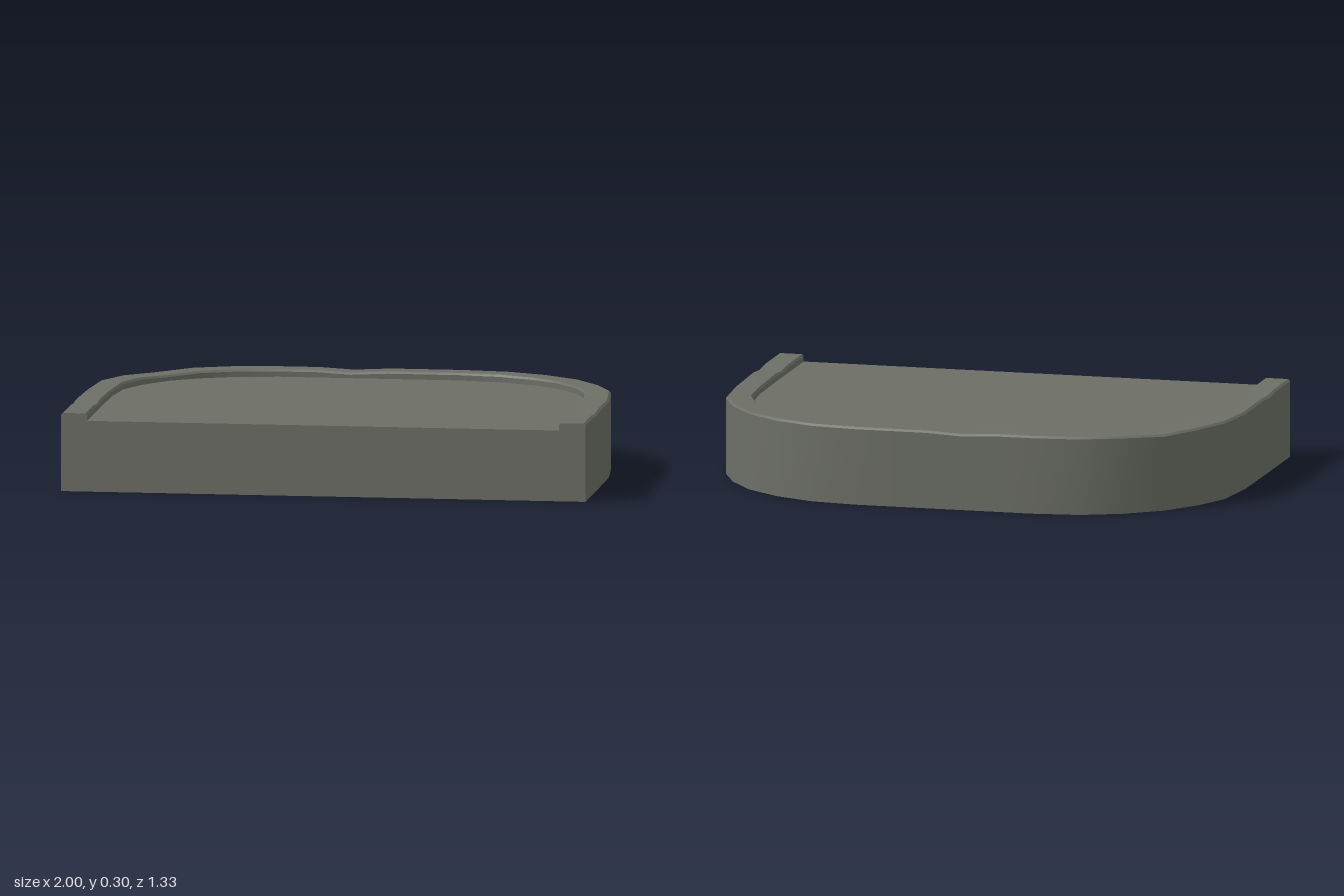
import * as THREE from 'three';

const stone = new THREE.MeshStandardMaterial({ color: 0x6c6f66, side: THREE.DoubleSide });
stone.name = 'grey stone';

const FRONT = 0.665, FLOOR = 0.27, TOP = 0.298;

// Half outlines in [x, z], from the front corner round to the middle of the back
const outerHalf = [[1, FRONT], [1, 0.45], [1, 0.36], [1, 0.27], [0.998, 0.02], [0.975, -0.2], [0.91, -0.345],
  [0.81, -0.48], [0.675, -0.58], [0.525, -0.643], [0.345, -0.665], [0.2, -0.665], [0.07, -0.665]];
const innerHalf = [[0.9, FRONT], [0.9, 0.45], [0.9, 0.36], [0.9, 0.27], [0.897, 0.01], [0.88, -0.165], [0.83, -0.29],
  [0.74, -0.412], [0.635, -0.49], [0.5, -0.55], [0.34, -0.575], [0.2, -0.575], [0.07, -0.575]];
const mirror = half => [...half, ...half.slice().reverse().map(([x, z]) => [-x, z])];
const outer = mirror(outerHalf), inner = mirror(innerHalf);

// Worn hollows along the rim, by outline index
const hollows = { 2: 0.007, 4: 0.004, 13: 0.007, 18: 0.006, 21: 0.004, 23: 0.007 };

// Rim cross-section rows: t runs from the outer (0) to the inner (1) outline
const row = (t, y, worn) => outer.map(([x, z], i) => [
  x + (inner[i][0] - x) * t,
  y - (worn ? hollows[i] || 0 : 0),
  z + (inner[i][1] - z) * t,
]);

// Smooth strip between two rows of points
function band(name, a, b) {
  const index = [], n = a.length;
  for (let i = 0; i < n - 1; i++) index.push(i, i + 1, n + i + 1, i, n + i + 1, n + i);
  const g = new THREE.BufferGeometry();
  g.setAttribute('position', new THREE.Float32BufferAttribute([...a, ...b].flat(), 3));
  g.setIndex(index);
  g.computeVertexNormals();
  return part(name, g);
}

function part(name, geometry) {
  const mesh = new THREE.Mesh(geometry, stone);
  mesh.name = name;
  return mesh;
}

export function createModel() {
  const group = new THREE.Group();
  group.name = 'steppedSlab';

  // Hollow kerb, open underneath
  const foot = row(0, 0), shoulder = row(0, TOP - 0.008, true);
  const rimOut = row(0.08, TOP, true), rimIn = row(0.94, TOP, true);
  const lip = row(1, TOP - 0.008, true), innerFoot = row(1, 0);
  group.add(
    band('outerWall', foot, shoulder),
    band('outerBevel', shoulder, rimOut),
    band('rimTop', rimOut, rimIn),
    band('innerBevel', rimIn, lip),
    band('innerWall', lip, innerFoot),
  );

  // Sunken floor
  const floorShape = new THREE.Shape(inner.map(([x, z]) => new THREE.Vector2(x, -z)));
  group.add(part('floor', new THREE.ShapeGeometry(floorShape).rotateX(-Math.PI / 2).translate(0, FLOOR, 0)));

  // Straight front face with the kerb ends standing proud of the floor
  const side = [[1, 0], [1, TOP - 0.008], [0.992, TOP], [0.906, TOP], [0.9, TOP - 0.008], [0.9, FLOOR]];
  const faceShape = new THREE.Shape(mirror(side).map(([x, y]) => new THREE.Vector2(x, y)));
  group.add(part('frontFace', new THREE.ShapeGeometry(faceShape).translate(0, 0, FRONT)));

  return group;
}
